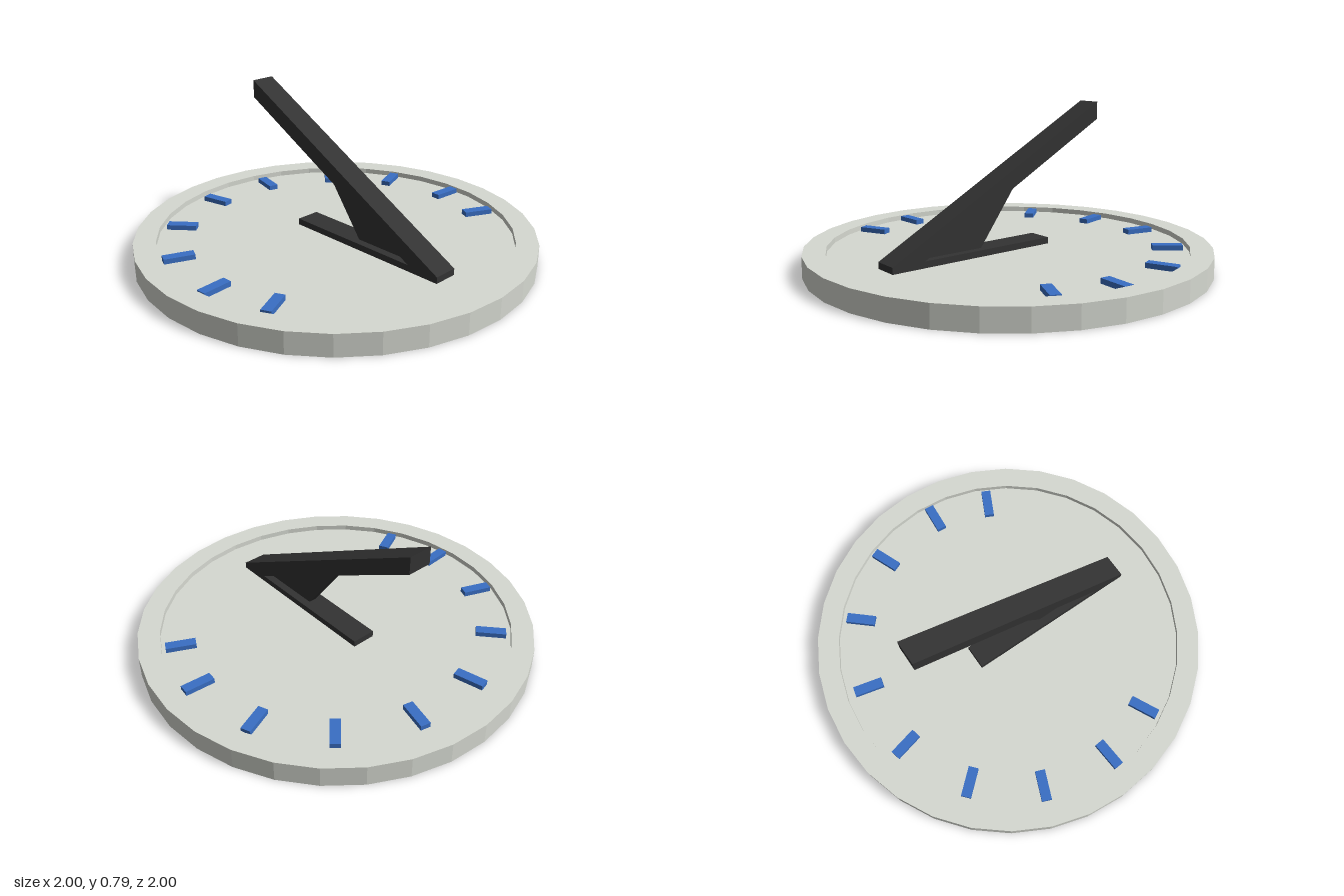
import * as THREE from 'three';

const RIM = 0.107, FLOOR = 0.08;

const material = (color) => new THREE.MeshStandardMaterial({ color, flatShading: true });

function part(name, geometry, mat) {
  const mesh = new THREE.Mesh(geometry, mat);
  mesh.name = name;
  return mesh;
}

// Extrudes a (z, y) side profile to a given width, centred on x = 0
function sideProfile(points, width) {
  const shape = new THREE.Shape(points.map(([z, y]) => new THREE.Vector2(z, y)));
  const geometry = new THREE.ExtrudeGeometry(shape, { depth: width, bevelEnabled: false });
  geometry.translate(0, 0, -width / 2);
  geometry.rotateY(-Math.PI / 2);
  return geometry;
}

export function createModel() {
  const model = new THREE.Group();
  model.name = 'sundial';
  const stone = material(0xd6d9d1);
  const dark = material(0x333333);
  const blue = material(0x3a6fc4);

  // Dial plate: 32-sided disc with a raised rim and a shallow recess
  const plate = [[0, 0], [1, 0], [1, RIM], [0.89, RIM], [0.89, FLOOR], [0, FLOOR]];
  model.add(part('dialPlate',
    new THREE.LatheGeometry(plate.map(([r, y]) => new THREE.Vector2(r, y)), 32), stone));

  // Pointer: flat foot and slanted bar in one profile
  const pointer = [
    [0.7, FLOOR], [0.7, 0.112], [-0.545, 0.785], [-0.545, 0.695],
    [0.53, 0.112], [-0.21, 0.112], [-0.21, FLOOR],
  ];
  model.add(part('pointer', sideProfile(pointer, 0.124), dark));

  // Narrow web that props the bar up from the foot
  const web = [[0.54, 0.105], [-0.06, 0.445], [0.19, 0.105]];
  model.add(part('pointerSupport', sideProfile(web, 0.045), dark));

  // Hour marks: plain raised bars pointing at the centre
  const marks = new THREE.Group();
  marks.name = 'hourMarks';
  const half = [[0.71, 0.35], [0.8, 0.06], [0.74, -0.3], [0.52, -0.59], [0.18, -0.75]];
  const bar = new THREE.BoxGeometry(0.05, 0.025, 0.15);
  for (const side of [-1, 1]) {
    for (const [x, z] of half) {
      const mark = part('hourMark', bar, blue);
      mark.position.set(side * x, FLOOR + 0.0125, z);
      mark.rotation.y = Math.atan2(side * x, z);
      marks.add(mark);
    }
  }
  model.add(marks);

  return model;
}
